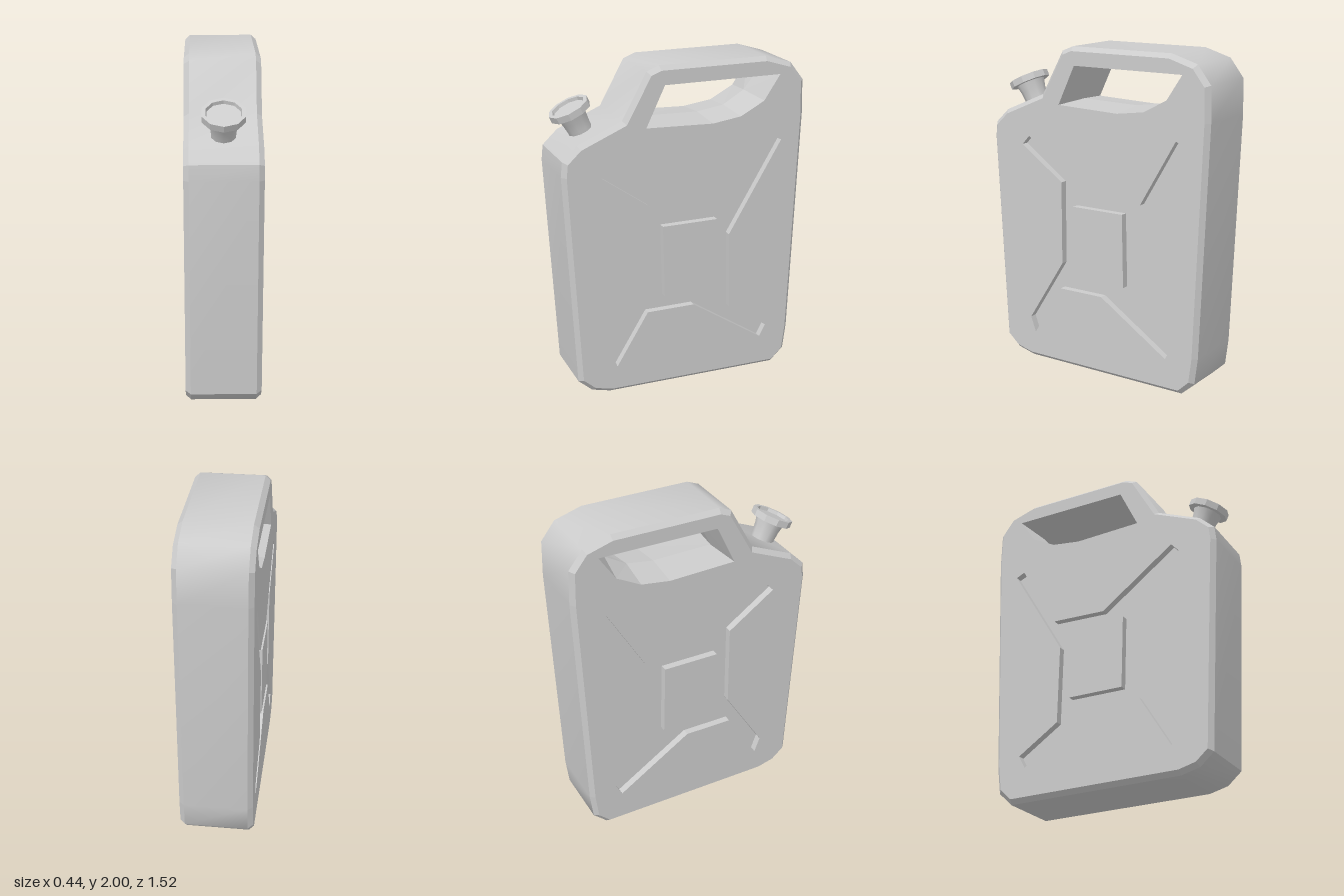
import * as THREE from 'three';
import { toCreasedNormals } from 'three/addons/utils/BufferGeometryUtils.js';

const mat = new THREE.MeshStandardMaterial({ color: 0xcccccc });

// Half width, chamfer start, and depth plane of the pressed recess
const FACE = 0.22, EDGE = 0.19, FLOOR = 0.175, INSET = 0.026;

// Side profiles as (z, y), drawn in the plane u = -z, clockwise
const loop = (pts) => pts.map(([z, y]) => new THREE.Vector2(-z, y));
const outline = loop([
  [0.76, 1.41], [0.75, 1.5], [0.66, 1.585], [0.39, 1.7], [0.24, 1.97], [0.165, 2],
  [-0.505, 2], [-0.67, 1.95], [-0.755, 1.84], [-0.76, 1.63], [-0.705, 0.24],
  [-0.685, 0.08], [-0.6, 0], [0.495, 0.01], [0.61, 0.04], [0.695, 0.115],
]);
const gripOuter = loop([[0.255, 1.65], [0.14, 1.89], [-0.59, 1.89], [-0.49, 1.74], [-0.34, 1.66], [-0.16, 1.635]]);
const gripInner = loop([[0.22, 1.665], [0.12, 1.87], [-0.55, 1.87], [-0.46, 1.76], [-0.325, 1.68], [-0.155, 1.655]]);
const cross = loop([
  [0.53, 1.385], [0.48, 1.44], [0.02, 1.105], [-0.32, 1.115], [-0.555, 1.515], [-0.61, 1.49],
  [-0.275, 0.93], [-0.285, 0.45], [-0.54, 0.28], [-0.5, 0.205], [-0.045, 0.505], [0.255, 0.505],
  [0.455, 0.18], [0.49, 0.275], [0.24, 0.67], [0.24, 1.18],
]);
const pad = loop([[0.155, 1.04], [-0.195, 1.04], [-0.205, 0.59], [0.145, 0.59]]);

// Mitred inward offset of a clockwise loop
function inset(pts, d) {
  const n = pts.length;
  const normal = (a, b) => new THREE.Vector2(b.y - a.y, a.x - b.x).normalize();
  return pts.map((p, i) => {
    const n1 = normal(pts[(i + n - 1) % n], p), n2 = normal(p, pts[(i + 1) % n]);
    return n1.clone().add(n2).multiplyScalar(d / (1 + n1.dot(n2))).add(p);
  });
}

// Strip between two loops; faces outward when w rises, inward when it falls
function band(a, wa, b, wb) {
  const pos = [];
  a.forEach((p, i) => {
    const j = (i + 1) % a.length;
    const A = [p.x, p.y, wa], B = [b[i].x, b[i].y, wb];
    const C = [b[j].x, b[j].y, wb], D = [a[j].x, a[j].y, wa];
    pos.push(...A, ...B, ...C, ...A, ...C, ...D);
  });
  const g = new THREE.BufferGeometry();
  g.setAttribute('position', new THREE.Float32BufferAttribute(pos, 3));
  g.computeVertexNormals();
  return g;
}

// Flat panel with optional holes at depth w
function panel(pts, w, holes = []) {
  const shape = new THREE.Shape(pts);
  holes.forEach((h) => shape.holes.push(new THREE.Path(h)));
  return new THREE.ShapeGeometry(shape).toNonIndexed().translate(0, 0, w);
}

// Reflected copy with the corner order restored
function mirrored(geo) {
  const g = geo.clone().scale(1, 1, -1);
  const p = g.attributes.position;
  const a = new THREE.Vector3(), b = new THREE.Vector3();
  for (let i = 0; i < p.count; i += 3) {
    a.fromBufferAttribute(p, i + 1);
    b.fromBufferAttribute(p, i + 2);
    p.setXYZ(i + 1, b.x, b.y, b.z);
    p.setXYZ(i + 2, a.x, a.y, a.z);
  }
  g.computeVertexNormals();
  return g;
}

function mesh(geo, name) {
  const m = new THREE.Mesh(geo, mat);
  m.name = name;
  return m;
}

export function createModel() {
  const model = new THREE.Group();
  model.name = 'fuelCan';

  // Body is built in the profile plane, then turned so its depth runs along x
  const body = new THREE.Group();
  body.name = 'body';
  body.rotation.y = Math.PI / 2;
  body.add(mesh(toCreasedNormals(band(outline, -EDGE, outline, EDGE), 0.7), 'shellWall'));

  // Parts of one side, repeated on the other
  const rim = inset(outline, INSET);
  const parts = {
    Chamfer: band(outline, EDGE, rim, FACE),
    Panel: panel(rim, FACE, [gripOuter, cross]),
    HandleOpening: band(gripOuter, FACE, gripInner, 0),
    RecessWall: band(cross, FACE, cross, FLOOR),
    RecessFloor: panel(cross, FLOOR, [pad]),
    PadWall: band(pad, FLOOR, pad, FACE),
    PadFace: panel(pad, FACE),
  };
  for (const [name, geo] of Object.entries(parts)) {
    body.add(mesh(geo, 'left' + name), mesh(mirrored(geo), 'right' + name));
  }
  model.add(body);

  // Tilted spout: flared neck and ten-sided dished cap
  const lathe = (pts, crease) => toCreasedNormals(
    new THREE.LatheGeometry(pts.map(([r, y]) => new THREE.Vector2(r, y)), 10), crease);
  const spout = new THREE.Group();
  spout.name = 'spout';
  spout.position.set(0, 1.73, 0.63);
  spout.rotation.x = 0.45;
  spout.add(
    mesh(lathe([[0.07, -0.18], [0.072, -0.1], [0.077, -0.05], [0.09, 0.005]], 0.7), 'neck'),
    mesh(lathe([[0, 0], [0.125, 0], [0.125, 0.04], [0.102, 0.04], [0.098, 0.02], [0, 0.02]], 0.5), 'cap'),
  );
  model.add(spout);
  return model;
}
